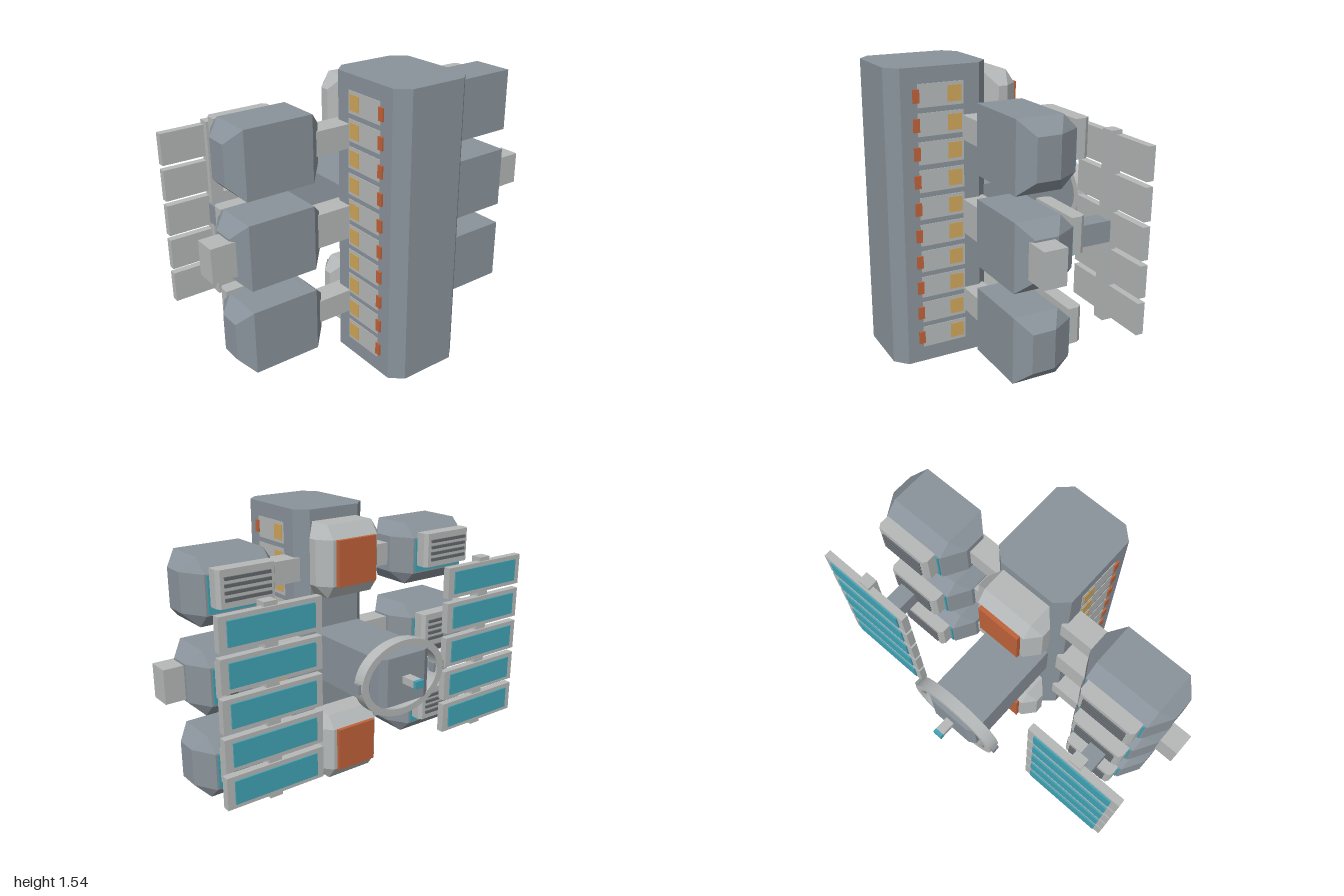
import * as THREE from 'three';
import { ConvexGeometry } from 'three/addons/geometries/ConvexGeometry.js';

const mat = (name, color, extra = {}) => {
  const m = new THREE.MeshStandardMaterial({ color, ...extra });
  m.name = name;
  return m;
};

export function createModel() {
  const hull = mat('hullGrey', 0x8a939b);
  const light = mat('lightGrey', 0xb6b9b9);
  const dark = mat('ventGrey', 0x63686c);
  const teal = mat('solarTeal', 0x41a3b5);
  const orange = mat('hatchOrange', 0xbf6239);
  const amber = mat('windowAmber', 0xcfa65a);

  const root = new THREE.Group();
  root.name = 'spaceStation';

  const add = (name, geometry, material) => {
    const m = new THREE.Mesh(geometry, material);
    m.name = name;
    root.add(m);
    return m;
  };
  // Box given by its limits on each axis
  const box = (name, material, [x0, x1], [y0, y1], [z0, z1]) =>
    add(name, new THREE.BoxGeometry(Math.abs(x1 - x0), y1 - y0, z1 - z0), material)
      .position.set((x0 + x1) / 2, (y0 + y1) / 2, (z0 + z1) / 2);
  // Convex solid from mirrored corners [halfX, halfY, z]
  const solid = (name, material, x, y, corners) => {
    const pts = [];
    for (const [hx, hy, z] of corners)
      for (const sx of [-1, 1])
        for (const sy of [-1, 1]) pts.push(new THREE.Vector3(sx * hx, sy * hy, z));
    add(name, new ConvexGeometry(pts), material).position.set(x, y, 0);
  };

  // Central tower with chamfered vertical edges
  const plan = [[0.155, 0.61], [0.22, 0.55], [0.22, 0.14], [0.155, 0.08]];
  const outline = [...plan, ...plan.map(([x, z]) => [-x, z]).reverse()];
  const towerShape = new THREE.Shape(outline.map(([x, z]) => new THREE.Vector2(x, -z)));
  const tower = new THREE.ExtrudeGeometry(towerShape, { depth: 1.54, bevelEnabled: false });
  tower.rotateX(-Math.PI / 2);
  add('tower', tower, hull);

  const levels = [0.31, 0.77, 1.23];

  for (const s of [-1, 1]) {
    // Rows of windows and lamps along the tower sides
    for (let i = 0; i < 10; i++) {
      const y = 0.14 + i * 0.1405;
      box('windowPanel', light, [s * 0.219, s * 0.223], [y - 0.057, y + 0.057], [0.225, 0.465]);
      box('window', amber, [s * 0.22, s * 0.226], [y - 0.04, y + 0.04], [0.237, 0.31]);
      box('sideLamp', orange, [s * 0.215, s * 0.23], [y - 0.033, y + 0.033], [0.458, 0.49]);
    }

    for (const y of levels) {
      // Connecting beams; the middle one reaches past its pod
      const middle = y === 0.77;
      const h = middle ? 0.09 : 0.062;
      box('beam', light, [s * 0.2, s * (middle ? 1 : 0.6)], [y - h, y + h], [0.11, 0.23]);

      // Habitat pod
      const px = s * 0.643;
      solid('pod', hull, px, y, [
        [0.18, 0.17, 0.275], [0.25, 0.1, 0.21], [0.25, 0.1, 0.09],
        [0.18, 0.17, 0.04], [0.18, 0.1, -0.03],
      ]);
      box('podBackPlate', teal, [px - 0.17, px + 0.17], [y - 0.09, y + 0.095], [-0.038, -0.029]);

      // Radiator with raised bars
      const ry = y + 0.04;
      solid('radiator', light, px, ry, [
        [0.16, 0.093, -0.037], [0.16, 0.093, -0.09], [0.145, 0.093, -0.112],
      ]);
      for (let i = 0; i < 4; i++) {
        const by = ry + 0.05 - i * 0.034;
        box('radiatorBar', dark, [px - 0.125, px + 0.125], [by - 0.008, by + 0.008], [-0.122, -0.11]);
      }
    }

    // Solar array: strut, spine and five framed panels
    const ax = s * 0.678;
    box('arrayStrut', hull, [ax - 0.05, ax + 0.05], [0.71, 0.82], [-0.31, -0.02]);
    box('arraySpine', light, [ax - 0.035, ax + 0.035], [0.28, 1.26], [-0.36, -0.3]);
    for (let i = -2; i <= 2; i++) {
      const y = 0.77 + i * 0.1925;
      box('panelFrame', light, [ax - 0.27, ax + 0.27], [y - 0.083, y + 0.083], [-0.37, -0.33]);
      box('solarCell', teal, [ax - 0.23, ax + 0.23], [y - 0.06, y + 0.06], [-0.378, -0.369]);
    }

    // Docking ring lug
    box('ringLug', hull, [s * 0.21, s * 0.28], [0.745, 0.795], [-0.485, -0.447]);
  }

  // Rear modules above and below the docking trunk
  for (const y of [0.25, 1.29]) {
    solid('rearModule', light, 0, y, [
      [0.14, 0.19, 0.08], [0.2, 0.12, 0.02], [0.2, 0.12, -0.03],
      [0.14, 0.19, -0.05], [0.14, 0.12, -0.1],
    ]);
    box('rearHatch', orange, [-0.12, 0.12], [y - 0.12, y + 0.12], [-0.122, -0.09]);
  }

  // Docking trunk with bevelled end
  solid('dockingTrunk', hull, 0, 0.772, [
    [0.16, 0.127, 0.1], [0.16, 0.127, -0.49], [0.12, 0.127, -0.512],
  ]);

  // Oval docking ring
  const ringShape = new THREE.Shape();
  ringShape.absellipse(0, 0, 0.265, 0.198, 0, Math.PI * 2, false, 0);
  const hole = new THREE.Path();
  hole.absellipse(0, 0, 0.225, 0.162, 0, Math.PI * 2, true, 0);
  ringShape.holes.push(hole);
  const ring = new THREE.ExtrudeGeometry(ringShape, { depth: 0.062, bevelEnabled: false, curveSegments: 32 });
  add('dockingRing', ring, light).position.set(0, 0.772, -0.495);

  // Docking probe with beacon tip
  box('probe', light, [-0.025, 0.025], [0.753, 0.791], [-0.592, -0.5]);
  box('beacon', teal, [-0.026, 0.026], [0.752, 0.792], [-0.612, -0.592]);

  return root;
}
